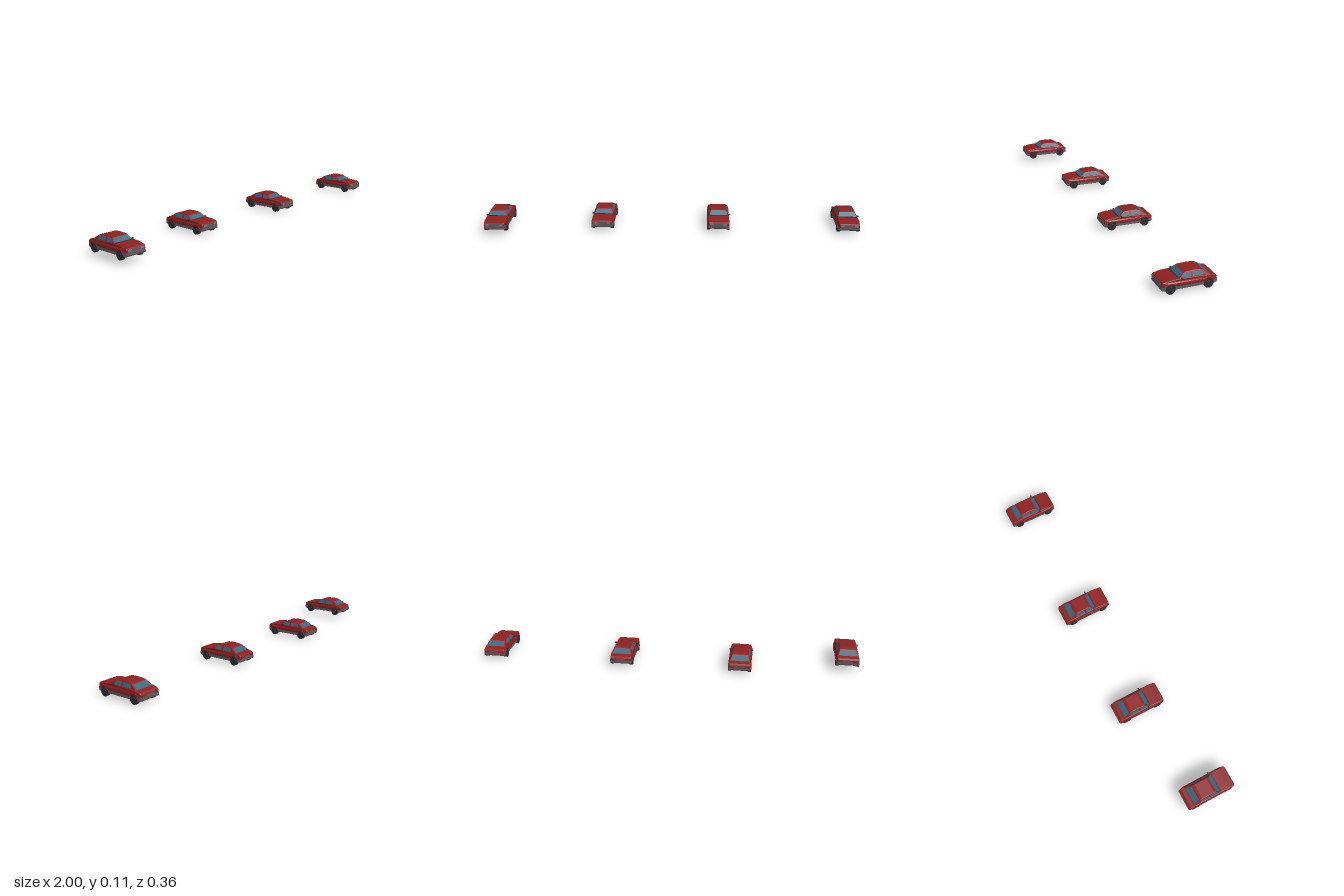
import * as THREE from 'three';

const mat = (name, color, side = THREE.FrontSide) => {
  const m = new THREE.MeshStandardMaterial({ color, side });
  m.name = name;
  return m;
};

const AXLES = [0.043, -0.136]; // front and rear wheel positions along z
const WHEEL_Y = 0.022;
const cabinHalf = (y) => 0.052 - ((y - 0.062) / 0.026) * 0.011;

// Extrudes a (z, y) side profile across x, centred, with a small bevel
function extrudeAcross(shape, half, bevel) {
  const g = new THREE.ExtrudeGeometry(shape, {
    depth: 2 * (half - bevel), bevelEnabled: true, bevelThickness: bevel,
    bevelSize: bevel, bevelOffset: -bevel, bevelSegments: 2, curveSegments: 10,
  });
  g.translate(0, 0, -(half - bevel));
  g.rotateY(-Math.PI / 2);
  return g;
}

// Scales x of every vertex by a rule of y and z
function shapeWidth(g, rule) {
  const p = g.attributes.position;
  for (let i = 0; i < p.count; i++) p.setX(i, p.getX(i) * rule(p.getY(i), p.getZ(i)));
  g.computeVertexNormals();
  return g;
}

const polygon = (pts) => new THREE.Shape(pts.map(([a, b]) => new THREE.Vector2(a, b)));

// Narrows the nose, the tail and the shoulders
const bodyWidth = (y, z) => {
  const end = Math.max(0, Math.abs(z + 0.047) - 0.1) / 0.031;
  return (1 - 0.1 * end * end) * (1 - 0.08 * Math.max(0, (y - 0.045) / 0.02));
};

function bodyGeometry() {
  const s = new THREE.Shape();
  s.moveTo(0.082, 0.035);
  [[0.084, 0.05], [0.08, 0.0575], [0.045, 0.063], [0.004, 0.066], [-0.08, 0.065],
    [-0.142, 0.062], [-0.168, 0.056], [-0.177, 0.049], [-0.177, 0.035]].forEach(([z, y]) => s.lineTo(z, y));
  const r = 0.024, a = Math.asin((0.035 - WHEEL_Y) / r);
  [...AXLES].reverse().forEach((z) => s.absarc(z, WHEEL_Y, r, Math.PI - a, a, true));
  return shapeWidth(extrudeAcross(s, 0.059, 0.003), bodyWidth);
}

function cabinGeometry() {
  const s = polygon([[0.004, 0.062], [-0.023, 0.0845], [-0.033, 0.088], [-0.07, 0.0895],
    [-0.1, 0.0875], [-0.112, 0.0835], [-0.15, 0.059]]);
  return shapeWidth(extrudeAcross(s, 0.052, 0.003), (y) => cabinHalf(y) / 0.052);
}

// Sloping window across the car, from lower (z, y) to upper (z, y)
function screenGeometry([z0, y0], [z1, y1]) {
  const a = cabinHalf(y0) - 0.005, b = cabinHalf(y1) - 0.005;
  const g = new THREE.BufferGeometry();
  g.setAttribute('position', new THREE.Float32BufferAttribute(
    [-a, y0, z0, a, y0, z0, b, y1, z1, -b, y1, z1], 3));
  g.setIndex(z0 > z1 ? [0, 1, 2, 0, 2, 3] : [0, 2, 1, 0, 3, 2]);
  g.computeVertexNormals();
  return g;
}

// Side window lying on the leaning cabin wall
function sideWindowGeometry(pts, side) {
  const g = new THREE.ShapeGeometry(polygon(pts));
  g.rotateY(side * Math.PI / 2);
  const p = g.attributes.position;
  for (let i = 0; i < p.count; i++) {
    const z = -side * p.getZ(i);
    p.setXYZ(i, side * (cabinHalf(p.getY(i)) + 0.0008), p.getY(i), z);
  }
  g.computeVertexNormals();
  return g;
}

function createCar() {
  const red = mat('red paint', 0x8e2020);
  const glass = mat('blue glass', 0x3d667c, THREE.DoubleSide);
  const grey = mat('grey trim', 0x625b60);
  const dark = mat('dark rubber', 0x312d34);
  const lamp = mat('pale lamp', 0x857c80);

  const car = new THREE.Group();
  const add = (name, geometry, material, x = 0, y = 0, z = 0) => {
    const m = new THREE.Mesh(geometry, material);
    m.name = name;
    m.position.set(x, y, z);
    car.add(m);
    return m;
  };
  const box = (name, w, h, d, material, x, y, z) =>
    add(name, new THREE.BoxGeometry(w, h, d), material, x, y, z);

  // Painted shell
  add('body', bodyGeometry(), red);
  add('cabin', cabinGeometry(), red);

  // Bumpers and sill, broken by the wheel arches
  const [f, r] = AXLES, lo = 0.0245, hi = 0.0205;
  const trims = {
    frontBumper: [[f + lo, 0.02], [0.081, 0.02], [0.084, 0.025], [0.084, 0.037], [f + hi, 0.037]],
    sill: [[r + lo, 0.02], [f - lo, 0.02], [f - hi, 0.036], [r + hi, 0.036]],
    rearBumper: [[-0.174, 0.02], [r - lo, 0.02], [r - hi, 0.037], [-0.178, 0.037], [-0.178, 0.025]],
  };
  for (const [name, pts] of Object.entries(trims)) {
    add(name, shapeWidth(extrudeAcross(polygon(pts), 0.0595, 0.0012), bodyWidth), grey);
  }
  for (const s of [-1, 1]) box('sillStrip', 0.0012, 0.0015, 0.13, dark, s * 0.0594, 0.036, -0.0465);

  // Underside and inner wheel wells
  box('floor', 0.11, 0.002, 0.235, dark, 0, 0.0195, -0.047);
  box('wheelWells', 0.084, 0.03, 0.235, dark, 0, 0.034, -0.047);

  // Nose and tail
  box('grille', 0.094, 0.015, 0.002, grey, 0, 0.0455, 0.0838);
  box('tailPanel', 0.09, 0.009, 0.002, grey, 0, 0.0415, -0.1772);
  for (const s of [-1, 1]) {
    box('headlight', 0.018, 0.009, 0.001, lamp, s * 0.036, 0.047, 0.0848);
    box('tailLight', 0.02, 0.006, 0.001, red, s * 0.034, 0.0425, -0.1782);
  }

  // Windows
  add('windshield', screenGeometry([0.0025, 0.0645], [-0.0215, 0.0845]), glass);
  add('rearWindow', screenGeometry([-0.1455, 0.0635], [-0.1165, 0.0822]), glass);
  for (const s of [-1, 1]) {
    add('frontSideWindow', sideWindowGeometry(
      [[-0.006, 0.0655], [-0.026, 0.084], [-0.054, 0.0845], [-0.054, 0.0655]], s), glass);
    add('rearSideWindow', sideWindowGeometry(
      [[-0.062, 0.0655], [-0.062, 0.0845], [-0.098, 0.084], [-0.112, 0.077], [-0.112, 0.0655]], s), glass);
    box('mirror', 0.013, 0.005, 0.007, dark, s * 0.056, 0.065, -0.009);
  }
  box('wiperCowl', 0.098, 0.0025, 0.006, dark, 0, 0.0655, 0.004);

  // Wheels
  const tyre = new THREE.CylinderGeometry(0.022, 0.022, 0.016, 20).rotateZ(Math.PI / 2);
  const hub = new THREE.CylinderGeometry(0.012, 0.013, 0.0015, 16);
  for (const z of AXLES) {
    for (const s of [-1, 1]) {
      add('wheel', tyre, dark, s * 0.0515, WHEEL_Y, z);
      add('hub', hub, dark, s * 0.06, WHEEL_Y, z).rotation.z = -s * Math.PI / 2;
    }
  }
  return car;
}

export function createModel() {
  const model = new THREE.Group();
  const first = createCar();
  // Row of cars; the one on the far right sits ahead and a little higher
  [[-0.9375, 0.021, 0.096], [-0.382, 0, 0], [0.243, 0, 0], [0.9375, 0, 0]].forEach((p, i) => {
    const car = i === 0 ? first : first.clone();
    car.name = 'car' + (i + 1);
    car.position.set(...p);
    model.add(car);
  });
  return model;
}
